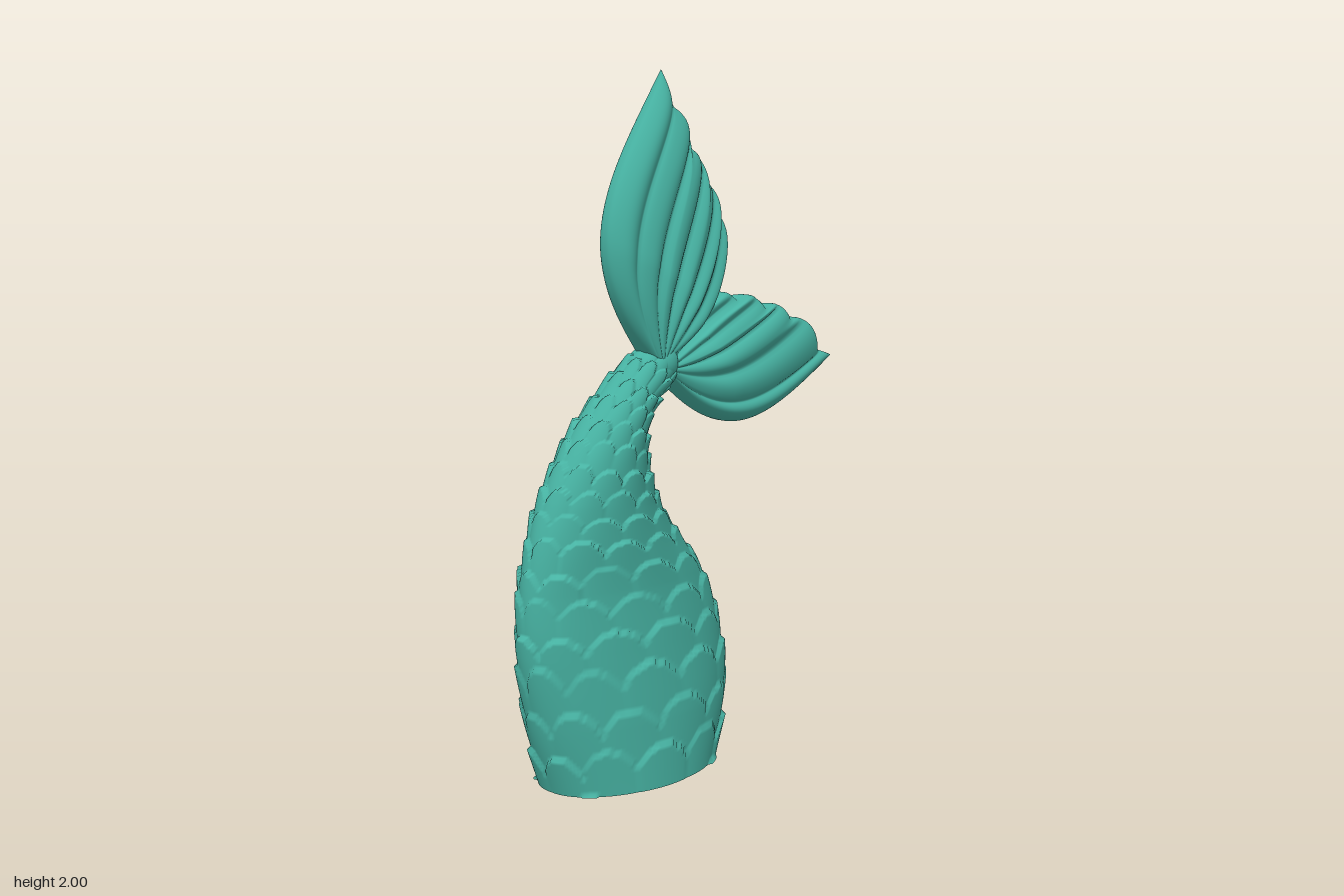
import * as THREE from 'three';
import { mergeVertices } from 'three/addons/utils/BufferGeometryUtils.js';

const teal = new THREE.MeshStandardMaterial({ color: 0x47b3a3 });
teal.name = 'sea teal';

function geometryFrom(positions, indices) {
  const g = new THREE.BufferGeometry();
  g.setAttribute('position', new THREE.Float32BufferAttribute(positions, 3));
  g.setIndex(indices);
  return g;
}

// Small repeatable variation per scale
function hash(a, b) {
  const n = Math.sin(a * 127.1 + b * 311.7) * 43758.5453;
  return n - Math.floor(n);
}

// Body sections: left x, left y, right x, right y, half depth, centre z
const SECTIONS = [
  [-0.53, 0, 0.08, 0, 0.203, 0],
  [-0.585, 0.2, 0.135, 0.2, 0.19, 0],
  [-0.622, 0.42, 0.12, 0.38, 0.168, 0],
  [-0.615, 0.58, 0.05, 0.56, 0.148, 0],
  [-0.585, 0.72, -0.06, 0.69, 0.136, 0.003],
  [-0.54, 0.83, -0.135, 0.79, 0.125, 0.006],
  [-0.47, 0.95, -0.18, 0.89, 0.115, 0.01],
  [-0.39, 1.05, -0.195, 0.98, 0.104, 0.015],
  [-0.3, 1.14, -0.175, 1.06, 0.09, 0.024],
  [-0.21, 1.22, -0.11, 1.12, 0.07, 0.037],
  [-0.15, 1.25, -0.09, 1.18, 0.045, 0.047],
];
const AROUND = 11, ROWS = 17;

// Relief of overlapping scales whose rounded tips point toward the fin
function scaleRelief(col, row) {
  let best = 0;
  for (let k = Math.floor(row) - 1; k <= Math.floor(row) + 1; k++) {
    const shift = (Math.abs(k) % 2) * 0.5;
    const c = Math.round(col - shift);
    const id = ((c % AROUND) + AROUND) % AROUND;
    const dx = (col - shift - c) / 0.56;
    const dy = row - k - (hash(id, k) - 0.5) * 0.3;
    const top = Math.sqrt(Math.max(0, 1 - dx * dx));
    if (dy < top && dy > -1) {
      const h = (0.5 + dy * 0.5) * (1 - 0.3 * dx * dx) * (0.8 + 0.4 * hash(k, id));
      best = Math.max(best, h);
    }
  }
  return best;
}

function bodyGeometry() {
  const curve = (a, b) => new THREE.CatmullRomCurve3(
    SECTIONS.map((s) => new THREE.Vector3(s[a], s[b], 0)));
  const left = curve(0, 1), right = curve(2, 3), depth = curve(4, 5);
  const nu = 190, nv = 200, pos = [], idx = [];
  for (let j = 0; j <= nv; j++) {
    const v = j / nv;
    const L = left.getPoint(v), R = right.getPoint(v), D = depth.getPoint(v);
    const mid = L.clone().add(R).multiplyScalar(0.5);
    const axis = R.clone().sub(L);
    const half = axis.length() / 2;
    axis.normalize();
    const fade = Math.min(1, (1 - v) * 8);
    for (let i = 0; i <= nu; i++) {
      const u = (i % nu) / nu, t = u * Math.PI * 2;
      const c = Math.cos(t), s = Math.sin(t);
      const n = Math.hypot(c / half, s / D.x);
      const lift = (scaleRelief(u * AROUND, v * ROWS) * 0.02 - 0.012) * fade;
      const a = half * c + (lift * c) / half / n;
      const z = D.y + D.x * s + (lift * s) / D.x / n;
      pos.push(mid.x + axis.x * a, Math.max(0, mid.y + axis.y * a), z);
    }
  }
  const w = nu + 1;
  for (let j = 0; j < nv; j++) for (let i = 0; i < nu; i++) {
    const a = j * w + i;
    idx.push(a, a + w, a + 1, a + 1, a + w, a + w + 1);
  }
  const side = mergeVertices(geometryFrom(pos, idx), 1e-6);
  side.computeVertexNormals();

  // Flat base with its own vertices, so the rim stays sharp
  const capPos = [-0.225, 0, 0, ...pos.slice(0, w * 3)], capIdx = [];
  for (let i = 1; i <= nu; i++) capIdx.push(0, i, i + 1);
  const cap = geometryFrom(capPos, capIdx);
  cap.computeVertexNormals();
  return { side, cap };
}

// A fin lobe: curved strands fan from a root to a scalloped edge.
// bowA / bowB bend the first and last strand; side mirrors the fan.
function lobeGeometry({ root, notches, bowA, bowB, side, z, ridges }) {
  const ns = 96, nr = 52, pos = [], idx = [];
  const segs = notches.length - 1;
  const edgePoint = (s) => {
    const k = Math.min(segs - 1, Math.floor(s * segs)), f = s * segs - k;
    const [ax, ay] = notches[k], [bx, by] = notches[k + 1];
    const dx = bx - ax, dy = by - ay;
    const h = k === 0 ? 0 : 0.24 * Math.pow(Math.max(0, Math.sin(Math.PI * f)), 0.8) * side;
    return [ax + dx * f - dy * h, ay + dy * f + dx * h];
  };
  for (const face of [1, -1]) {
    for (let j = 0; j <= nr; j++) {
      const r = Math.sin((Math.PI / 2) * (0.02 + 0.98 * (j / nr)));
      for (let i = 0; i <= ns; i++) {
        const s = (1 - Math.cos((Math.PI * i) / ns)) / 2;
        const [ex, ey] = edgePoint(s);
        const dx = ex - root[0], dy = ey - root[1];
        const bendA = bowA * Math.pow(Math.max(0, Math.sin(Math.PI * Math.pow(r, 0.83))), 1.15);
        const bendB = bowB * Math.max(0, Math.sin(Math.PI * r));
        const b = (bendA * (1 - s) - bendB * s) * side;
        // Rounded rim, with grooves that fade in from the root
        const rim = Math.pow(4 * s * (1 - s), 0.3) * Math.pow(Math.max(0, 1 - Math.pow(r, 8)), 0.4);
        const ridge = Math.pow(Math.abs(Math.sin(Math.PI * ridges * s)), 0.8);
        const groove = 1 - 0.34 * Math.min(1, r * 3) * (1 - ridge);
        const t = 0.077 * (0.62 + 0.38 * Math.min(1, r * 2.5)) * rim * groove;
        pos.push(root[0] + dx * r - dy * b, root[1] + dy * r + dx * b, z + face * t);
      }
    }
  }
  const w = ns + 1, layer = w * (nr + 1);
  for (let f = 0; f < 2; f++) for (let j = 0; j < nr; j++) for (let i = 0; i < ns; i++) {
    const a = f * layer + j * w + i;
    if ((f === 0) === (side > 0)) idx.push(a, a + 1, a + w, a + 1, a + w + 1, a + w);
    else idx.push(a, a + w, a + 1, a + 1, a + w, a + w + 1);
  }
  const g = mergeVertices(geometryFrom(pos, idx), 1e-6);
  g.computeVertexNormals();
  return g;
}

export function createModel() {
  const model = new THREE.Group();
  model.name = 'fishTail';
  const add = (name, geometry) => {
    const mesh = new THREE.Mesh(geometry, teal);
    mesh.name = name;
    model.add(mesh);
    return mesh;
  };

  const body = bodyGeometry();
  add('scaledBody', body.side);
  add('flatBase', body.cap);

  add('upperFinLobe', lobeGeometry({
    root: [-0.17, 1.18],
    notches: [[-0.135, 2.0], [-0.1, 1.9], [-0.055, 1.79], [0.013, 1.7], [0.06, 1.62], [0.085, 1.5]],
    bowA: 0.24, bowB: 0.17, side: 1, z: 0.05, ridges: 6,
  }));
  add('sideFinLobe', lobeGeometry({
    root: [-0.15, 1.17],
    notches: [[0.62, 1.14], [0.54, 1.165], [0.4, 1.27], [0.285, 1.31], [0.17, 1.34], [0.06, 1.345]],
    bowA: 0.23, bowB: 0.12, side: -1, z: 0.042, ridges: 6,
  }));

  // Rounded joint where both lobes leave the body
  const joint = add('finJoint', new THREE.SphereGeometry(0.062, 32, 20));
  joint.position.set(-0.15, 1.185, 0.045);
  return model;
}
